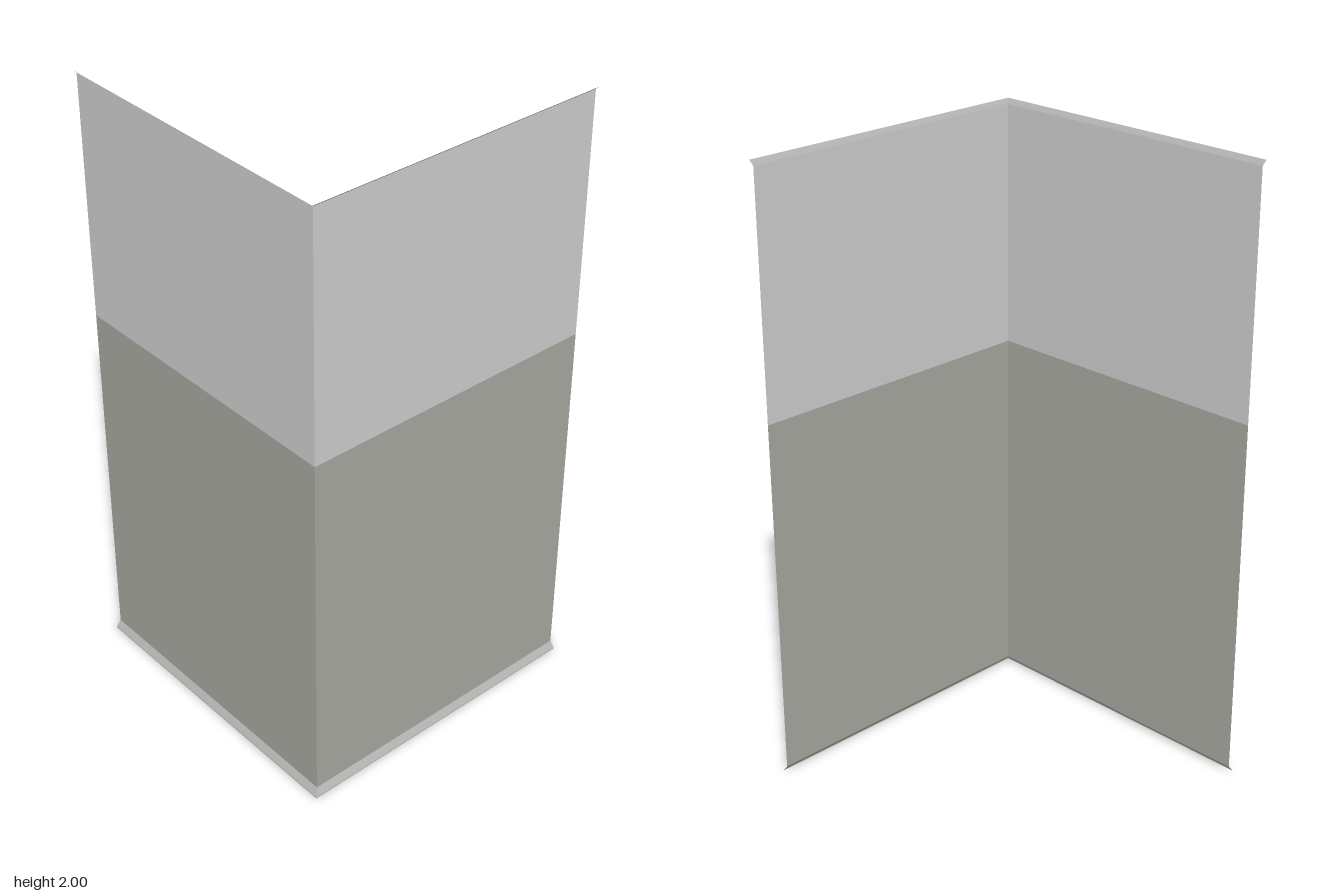
import * as THREE from 'three';

const END = -0.507; // free ends of both walls
const WALL = 0.49;  // distance of the wall plane from the centre

const mat = (name, color) =>
  new THREE.MeshStandardMaterial({ name, color, side: THREE.DoubleSide });

// Sweeps an [offset, height] profile along one straight wall, mitred at the corner.
function strip(profile) {
  const pos = [], index = [];
  for (let i = 0; i < profile.length - 1; i++) {
    const [a, ya] = profile[i], [b, yb] = profile[i + 1];
    const n = pos.length / 3;
    pos.push(END, ya, a, a, ya, a, b, yb, b, END, yb, b);
    index.push(n, n + 1, n + 2, n, n + 2, n + 3);
  }
  const g = new THREE.BufferGeometry();
  g.setAttribute('position', new THREE.Float32BufferAttribute(pos, 3));
  g.setIndex(index);
  g.computeVertexNormals();
  return g;
}

// Mirrors a front strip across the x = z diagonal onto the side wall.
function mirrored(geometry) {
  const g = geometry.clone();
  const p = g.attributes.position;
  for (let i = 0; i < p.count; i++) p.setXYZ(i, p.getZ(i), p.getY(i), p.getX(i));
  g.setIndex(Array.from(g.index.array).reverse());
  g.computeVertexNormals();
  return g;
}

export function createModel() {
  const model = new THREE.Group();
  model.name = 'cornerWall';

  const upper = mat('lightGreyPaint', 0xcdcdcd);
  const lower = mat('warmGreyPaint', 0xa7a7a0);
  const trim = mat('trimGrey', 0xb0b0ae);

  const parts = [
    // painted wall, two bands
    ['LowerWall', lower, [[WALL, 0.022], [WALL, 1.205]]],
    ['UpperWall', upper, [[WALL, 1.205], [WALL, 1.986]]],
    // flared trims
    ['Skirting', trim, [[0.507, 0], [0.506, 0.004], [WALL, 0.022]]],
    ['Cornice', trim, [[WALL, 1.986], [0.498, 1.993], [0.507, 2]]],
  ];

  for (const [name, material, profile] of parts) {
    const front = new THREE.Mesh(strip(profile), material);
    front.name = 'front' + name;
    const side = new THREE.Mesh(mirrored(front.geometry), material);
    side.name = 'left' + name;
    model.add(front, side);
  }
  return model;
}
